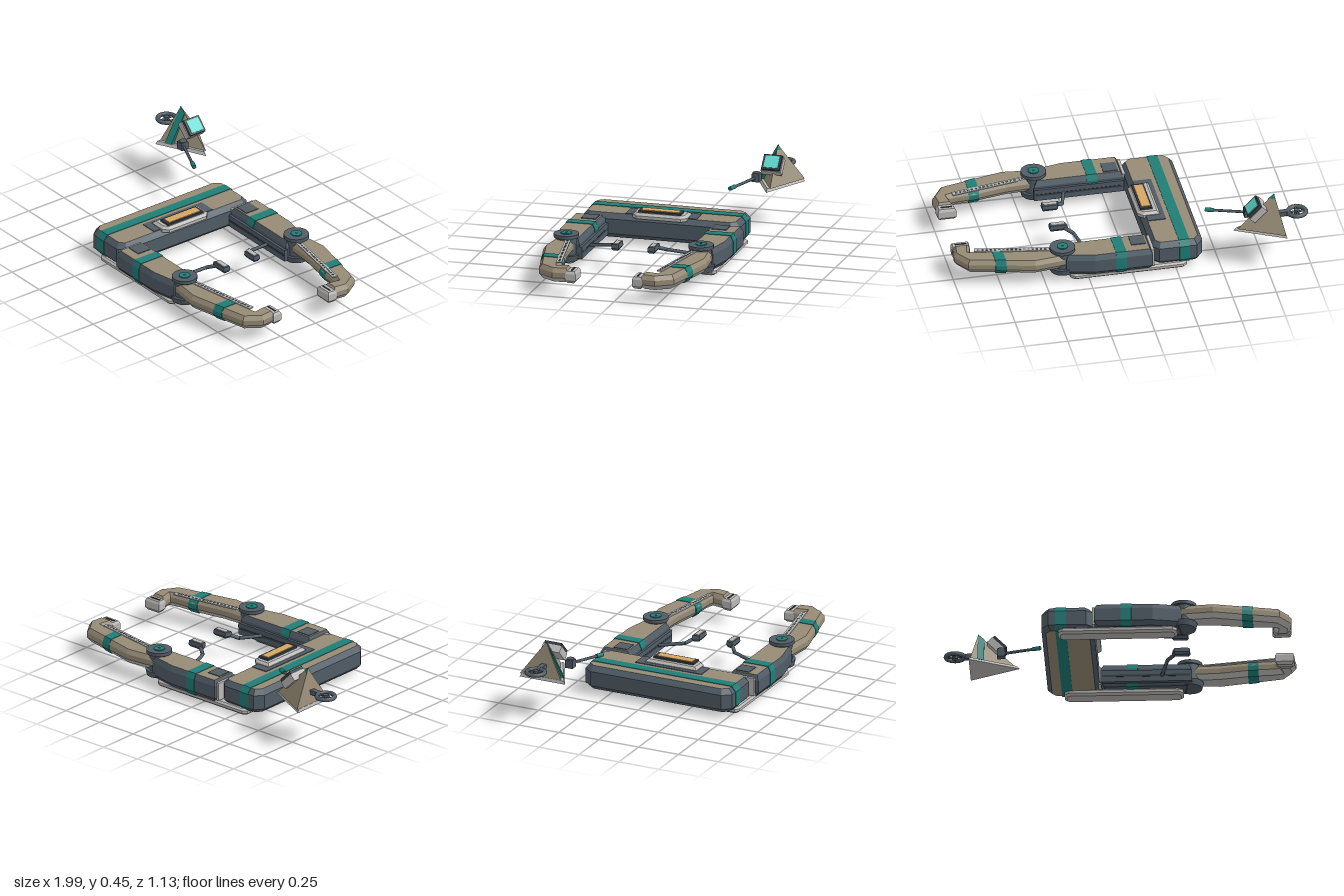
import * as THREE from 'three';

const mat = (name, color) => Object.assign(new THREE.MeshStandardMaterial({ color }), { name });

export function createModel() {
  const tan = mat('tan', 0x968b76), slate = mat('slate', 0x505c66), teal = mat('teal', 0x1f7d76);
  const light = mat('light grey', 0xbab9b7), dark = mat('dark', 0x343d45);
  const cyan = mat('screen cyan', 0x5fd8cc), amber = mat('amber', 0xd6a564);
  const root = new THREE.Group();
  const ZC = 0.065; // symmetry plane of the frame

  const add = (parent, name, geo, m) => {
    const mesh = new THREE.Mesh(geo, m);
    mesh.name = name;
    parent.add(mesh);
    return mesh;
  };
  const box = (parent, name, m, x0, x1, y0, y1, z0, z1) => {
    const b = add(parent, name, new THREE.BoxGeometry(x1 - x0, y1 - y0, Math.abs(z1 - z0)), m);
    b.position.set((x0 + x1) / 2, (y0 + y1) / 2, (z0 + z1) / 2);
    return b;
  };
  const disc = (parent, name, m, r, x, y0, y1, z, n = 20, r2 = r) => {
    const d = add(parent, name, new THREE.CylinderGeometry(r, r2, y1 - y0, n), m);
    d.position.set(x, (y0 + y1) / 2, z);
    return d;
  };
  const rod = (parent, name, m, a, b, r, n = 8) => {
    const A = new THREE.Vector3(...a), B = new THREE.Vector3(...b), dir = B.clone().sub(A);
    const c = add(parent, name, new THREE.CylinderGeometry(r, r, dir.length(), n), m);
    c.position.copy(A).add(B).multiplyScalar(0.5);
    c.quaternion.setFromUnitVectors(new THREE.Vector3(0, 1, 0), dir.normalize());
    return c;
  };

  // Closed faceted loft through rings of points; mats = [start cap, ...walls, end cap]
  const loft = (parent, name, rings, mats, drop) => {
    const n = rings[0].length, faces = [];
    const cap = (ring, rev) => {
      const flat = ring.map(p => new THREE.Vector2(...p.filter((_, i) => i !== drop)));
      return THREE.ShapeUtils.triangulateShape(flat, []).map(t => {
        const s = [...t].sort((a, b) => a - b).map(i => ring[i]);
        return rev ? s.reverse() : s;
      });
    };
    faces.push(cap(rings[0], true));
    for (let k = 0; k + 1 < rings.length; k++) {
      const A = rings[k], B = rings[k + 1], f = [];
      for (let i = 0; i < n; i++) {
        const j = (i + 1) % n;
        f.push([A[i], A[j], B[j]], [A[i], B[j], B[i]]);
      }
      faces.push(f);
    }
    faces.push(cap(rings[rings.length - 1], false));
    let volume = 0;
    const v = p => new THREE.Vector3(...p);
    faces.flat().forEach(([a, b, c]) => { volume += v(a).dot(v(b).cross(v(c))); });
    const list = [...new Set(mats)], pos = [], geo = new THREE.BufferGeometry();
    faces.forEach((f, k) => {
      geo.addGroup(pos.length / 3, f.length * 3, list.indexOf(mats[Math.min(k, mats.length - 1)]));
      f.forEach(([a, b, c]) => pos.push(...(volume > 0 ? [...a, ...b, ...c] : [...a, ...c, ...b])));
    });
    geo.setAttribute('position', new THREE.Float32BufferAttribute(pos, 3));
    geo.computeVertexNormals();
    return add(parent, name, geo, list);
  };

  // Mitred inset of a plan outline
  const inset = (pts, d) => {
    const n = pts.length;
    const area = pts.reduce((s, p, i) => s + p[0] * pts[(i + 1) % n][1] - pts[(i + 1) % n][0] * p[1], 0);
    const sg = Math.sign(area);
    const nrm = (a, b) => {
      const l = Math.hypot(b[0] - a[0], b[1] - a[1]);
      return [-(b[1] - a[1]) / l * sg, (b[0] - a[0]) / l * sg];
    };
    return pts.map((p, i) => {
      const a = nrm(pts[(i + n - 1) % n], p), b = nrm(p, pts[(i + 1) % n]);
      const k = d / (1 + a[0] * b[0] + a[1] * b[1]);
      return [p[0] + (a[0] + b[0]) * k, p[1] + (a[1] + b[1]) * k];
    });
  };
  // Bevelled slab: plan outline (x, w) stacked at [height, inset] levels
  const slab = (parent, name, plan, levels, mats, s = 1) =>
    loft(parent, name, levels.map(([y, d]) => inset(plan, d).map(([x, w]) => [x, y, ZC + s * w])), mats, 1);
  // Painted stripe wrapped round a body between two x stations
  const band = (parent, name, stations, y0, y1, c0, c1, s = 1) => {
    const e = 0.003;
    loft(parent, name, stations.map(([x, wa, wb]) => [
      [wa + c0 - e, y0 - e], [wb - c0 + e, y0 - e], [wb + e, y0 + 0.025], [wb + e, y1 - 0.03],
      [wb - c1 + e, y1 + e], [wa + c1 - e, y1 + e], [wa - e, y1 - 0.03], [wa - e, y0 + 0.025],
    ].map(([w, y]) => [x, y, ZC + s * w])), [teal], 0);
  };

  // Rear spine
  const spine = new THREE.Group();
  spine.name = 'spine';
  root.add(spine);
  slab(spine, 'spineBody',
    [[-0.37, -0.46], [-0.155, -0.46], [-0.115, -0.42], [-0.115, 0.42], [-0.155, 0.46], [-0.37, 0.46], [-0.41, 0.41], [-0.41, -0.41]],
    [[0.03, 0.025], [0.055, 0], [0.14, 0], [0.17, 0.025]], [tan, slate, slate, slate, tan]);
  band(spine, 'spineStripe', [[-0.33, -0.46, 0.46], [-0.27, -0.46, 0.46]], 0.03, 0.17, 0.025, 0.025);
  box(spine, 'spinePanel', slate, -0.245, -0.141, 0.168, 0.174, ZC - 0.21, ZC + 0.205);
  slab(spine, 'controlBase',
    [[-0.22, -0.16], [-0.125, -0.16], [-0.095, -0.13], [-0.095, 0.13], [-0.125, 0.16], [-0.22, 0.16]],
    [[0.16, 0], [0.178, 0], [0.192, 0.015]], [light]);
  box(spine, 'controlTray', dark, -0.185, -0.115, 0.19, 0.203, ZC - 0.125, ZC + 0.125);
  box(spine, 'controlPanel', amber, -0.175, -0.125, 0.2, 0.207, ZC - 0.11, ZC + 0.11);

  // Two mirrored arms
  for (const s of [1, -1]) {
    const arm = new THREE.Group();
    arm.name = s > 0 ? 'frontArm' : 'rearArm';
    root.add(arm);
    const Z = w => ZC + s * w;
    box(arm, 'collar', light, -0.122, -0.106, 0.045, 0.15, Z(0.32), Z(0.475));
    slab(arm, 'upperArm', [[-0.11, 0.315], [-0.11, 0.495], [0.22, 0.495], [0.38, 0.462], [0.4, 0.315]],
      [[0.035, 0.02], [0.06, 0], [0.135, 0], [0.165, 0.015]], [slate, slate, slate, slate, tan], s);
    band(arm, 'upperArmStripe', [[0.04, 0.315, 0.495], [0.1, 0.315, 0.495]], 0.035, 0.165, 0.02, 0.015, s);
    box(arm, 'upperArmPanel', slate, -0.085, 0, 0.163, 0.169, Z(0.34), Z(0.425));
    box(arm, 'innerRail', slate, -0.11, 0.405, 0.05, 0.12, Z(0.3), Z(0.325));
    box(arm, 'innerRailGroove', dark, -0.1, 0.395, 0.08, 0.092, Z(0.298), Z(0.305));
    slab(arm, 'skid', [[-0.29, 0.36], [0.33, 0.36], [0.355, 0.38], [0.355, 0.447], [0.33, 0.467], [-0.29, 0.467], [-0.315, 0.447], [-0.315, 0.38]],
      [[0, 0.014], [0.012, 0], [0.027, 0], [0.037, 0.012]], [light], s);

    // Curved forearm with a light underside
    slab(arm, 'forearm',
      [[0.36, 0.345], [0.36, 0.45], [0.43, 0.465], [0.56, 0.48], [0.93, 0.395], [0.993, 0.3], [0.982, 0.21],
        [0.885, 0.21], [0.9, 0.287], [0.87, 0.295], [0.75, 0.303], [0.56, 0.338], [0.43, 0.345]],
      [[0.08, 0.022], [0.108, 0], [0.138, 0], [0.163, 0.017]], [light, light, tan, tan, tan], s);
    band(arm, 'forearmStripe', [[0.72, 0.308, 0.443], [0.78, 0.301, 0.429]], 0.08, 0.163, 0.022, 0.017, s);
    slab(arm, 'armTip', [[0.88, 0.166], [0.985, 0.166], [0.988, 0.225], [0.885, 0.225]],
      [[0.08, 0.012], [0.095, 0], [0.135, 0], [0.15, 0.008]], [light], s);
    box(arm, 'tipSlot', dark, 0.9, 0.965, 0.147, 0.154, Z(0.19), Z(0.198));
    const strip = new THREE.Group();
    strip.name = 'gripStrip';
    strip.position.set(0.66, 0.165, Z(0.333));
    strip.rotation.y = s * Math.atan2(0.075, 0.43);
    arm.add(strip);
    box(strip, 'stripPlate', light, -0.22, 0.22, -0.004, 0.003, -0.016, 0.016);
    for (let i = 0; i < 18; i++)
      box(strip, 'stripSlot', slate, -0.21 + i * 0.0235, -0.198 + i * 0.0235, 0, 0.005, -0.005, 0.005);

    // Pivot joint
    disc(arm, 'pivotCore', slate, 0.06, 0.39, 0.04, 0.175, Z(0.395));
    disc(arm, 'pivotCap', slate, 0.072, 0.39, 0.172, 0.192, Z(0.395), 20);
    disc(arm, 'pivotHub', teal, 0.032, 0.39, 0.185, 0.197, Z(0.395), 16);
    disc(arm, 'pivotBolt', slate, 0.006, 0.39, 0.19, 0.2, Z(0.395), 8);
    disc(arm, 'pivotFoot', slate, 0.078, 0.39, 0.04, 0.075, Z(0.395), 20, 0.07);

    // Inner rest pad on a bent stalk
    const path = [[0.235, 0.085, Z(0.31)], [0.275, 0.11, Z(0.155)], [0.32, 0.13, Z(0.12)]];
    rod(arm, 'restStalk', slate, path[0], path[1], 0.01);
    rod(arm, 'restStalk', slate, path[1], path[2], 0.011);
    slab(arm, 'restPad', [[0.3, 0.128], [0.315, 0.083], [0.405, 0.083], [0.405, 0.128]],
      [[0.115, 0.008], [0.128, 0], [0.152, 0.003]], [slate], s);
    box(arm, 'restTop', light, 0.32, 0.394, 0.149, 0.156, Z(0.092), Z(0.119));
  }

  // Separate three-sided console
  const con = new THREE.Group();
  con.name = 'console';
  con.position.z = -0.4265;
  root.add(con);
  const apex = [-0.805, 0.445, 0];
  const base = [[-0.853, 0.23, -0.143], [-0.57, 0.23, 0], [-0.853, 0.23, 0.143]];
  const level = (t, grow = 0) => base.map(p => p.map((c, i) =>
    i === 1 ? c + (apex[1] - c) * t : (c + (apex[i] - c) * t + 0.76) * (1 + grow) - 0.76));
  loft(con, 'consoleSkirt', [level(0), level(0.085)], [light], 1);
  loft(con, 'consoleBody', [level(0.08, -0.02), level(0.999)], [tan], 1);
  // Stripe follows the pyramid's slice at constant x
  const slice = x => {
    const t = (-0.57 - x) / 0.283, h = 0.215 * (-0.57 - x) / 0.235;
    return [[x, 0.245, -0.143 * t * (1 - 0.015 / h) - 0.003], [x, 0.233 + h, 0], [x, 0.245, 0.143 * t * (1 - 0.015 / h) + 0.003]];
  };
  loft(con, 'consoleStripe', [slice(-0.806), slice(-0.77)], [teal], 0);

  // Tilted display
  const scr = new THREE.Group();
  scr.name = 'display';
  scr.position.set(-0.695, 0.362, 0);
  scr.rotation.z = -Math.PI / 4;
  con.add(scr);
  box(scr, 'displayShell', light, -0.05, 0.05, -0.035, 0.008, -0.058, 0.058);
  box(scr, 'displayBezel', dark, -0.048, 0.048, 0.006, 0.026, -0.053, 0.053);
  box(scr, 'displayScreen', cyan, -0.038, 0.038, 0.022, 0.029, -0.041, 0.041);

  // Side lever
  box(con, 'leverMount', slate, -0.695, -0.65, 0.262, 0.308, 0.065, 0.11);
  disc(con, 'leverJoint', slate, 0.023, -0.67, 0.265, 0.315, 0.087, 12);
  rod(con, 'leverRod', slate, [-0.67, 0.285, 0.087], [-0.48, 0.275, 0.164], 0.008);
  rod(con, 'leverGrip', teal, [-0.49, 0.276, 0.16], [-0.447, 0.274, 0.178], 0.012, 10);

  // Hand wheel
  const wheel = new THREE.Group();
  wheel.name = 'handWheel';
  wheel.position.set(-0.936, 0.31, 0);
  con.add(wheel);
  add(wheel, 'wheelRim', new THREE.TorusGeometry(0.051, 0.013, 8, 24), slate).rotation.x = Math.PI / 2;
  disc(wheel, 'wheelHub', slate, 0.016, 0, -0.012, 0.012, 0, 12);
  for (let i = 0; i < 4; i++) {
    const a = i * Math.PI / 2;
    rod(wheel, 'wheelSpoke', slate, [0, 0, 0], [0.05 * Math.cos(a), 0, 0.05 * Math.sin(a)], 0.006);
  }
  box(con, 'wheelStrut', slate, -0.885, -0.825, 0.297, 0.323, -0.016, 0.016);

  return root;
}
